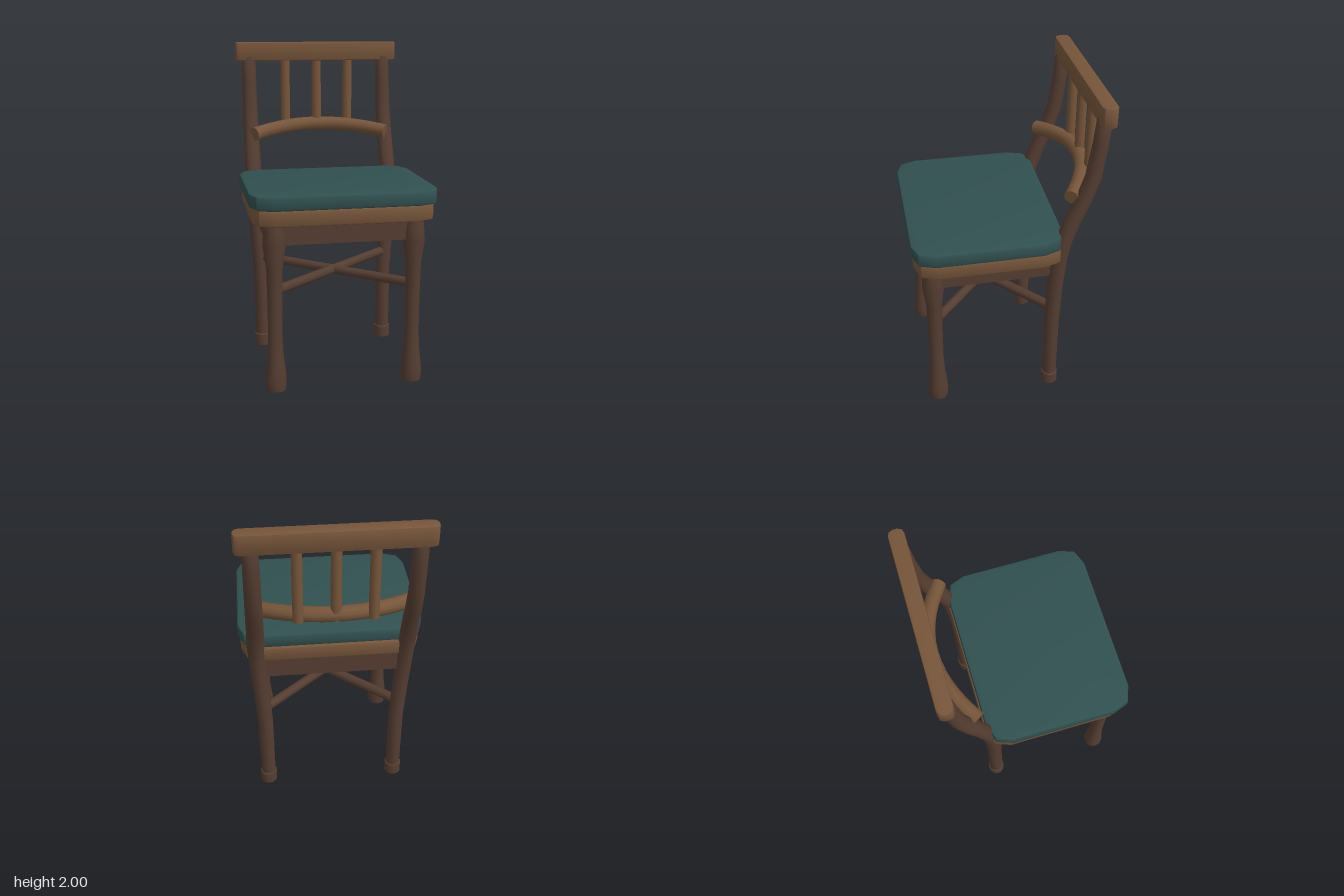
import * as THREE from 'three';
import { mergeVertices, toCreasedNormals } from 'three/addons/utils/BufferGeometryUtils.js';

const lightWood = new THREE.MeshStandardMaterial({ color: 0x76553a });
const darkWood = new THREE.MeshStandardMaterial({ color: 0x553d31 });
const fabric = new THREE.MeshStandardMaterial({ color: 0x315050 });

// Horizontal slab with two-step clipped corners and softened edges
function slab(halfW, zBack, zFront, y0, y1, cut, bevel) {
  const mid = (zBack + zFront) / 2, halfD = (zFront - zBack) / 2;
  const corner = [[halfW, halfD - cut], [halfW - cut * 0.27, halfD - cut * 0.27], [halfW - cut, halfD]];
  const outline = [];
  for (const [sx, sz] of [[1, 1], [-1, 1], [-1, -1], [1, -1]]) {
    const pts = corner.map(([x, z]) => new THREE.Vector2(x * sx, z * sz));
    outline.push(...(sx * sz > 0 ? pts : pts.reverse()));
  }
  const geo = new THREE.ExtrudeGeometry(new THREE.Shape(outline), {
    depth: y1 - y0 - 2 * bevel, bevelThickness: bevel, bevelSize: bevel, bevelOffset: -bevel, bevelSegments: 2,
  });
  geo.rotateX(-Math.PI / 2).translate(0, y0 + bevel, mid);
  return toCreasedNormals(geo, 0.7);
}

// Turned post whose rings follow a bent centre line; rows are [x, y, z, radius]
function turnedPost(rows, sides = 12) {
  const first = rows[0], last = rows[rows.length - 1];
  const all = [[...first.slice(0, 3), 0], ...rows, [...last.slice(0, 3), 0]];
  const geo = new THREE.LatheGeometry(all.map(([, y, , r]) => new THREE.Vector2(r, y)), sides);
  const pos = geo.attributes.position;
  for (let i = 0; i < pos.count; i++) {
    const [x, , z] = all[i % all.length];
    pos.setX(i, pos.getX(i) + x);
    pos.setZ(i, pos.getZ(i) + z);
  }
  geo.deleteAttribute('uv');
  geo.deleteAttribute('normal');
  return toCreasedNormals(mergeVertices(geo), 0.8);
}

// Straight round bar between two points
function bar(a, b, radius, sides) {
  const dir = b.clone().sub(a);
  const geo = new THREE.CylinderGeometry(radius, radius, dir.length(), sides);
  geo.applyQuaternion(new THREE.Quaternion().setFromUnitVectors(new THREE.Vector3(0, 1, 0), dir.normalize()));
  const c = a.clone().add(b).multiplyScalar(0.5);
  return geo.translate(c.x, c.y, c.z);
}

export function createModel() {
  const chair = new THREE.Group();
  chair.name = 'chair';
  const add = (name, geo, mat) => {
    const mesh = new THREE.Mesh(geo, mat);
    mesh.name = name;
    chair.add(mesh);
  };
  const v = (x, y, z) => new THREE.Vector3(x, y, z);
  const box = (w, h, d, x, y, z) => new THREE.BoxGeometry(w, h, d).translate(x, y, z);

  // Seat
  add('cushion', slab(0.555, -0.32, 0.57, 1.105, 1.19, 0.13, 0.016), fabric);
  add('seatFrame', slab(0.54, -0.328, 0.557, 1.01, 1.105, 0.13, 0.014), lightWood);

  // Aprons under the seat
  add('frontApron', box(0.78, 0.13, 0.06, 0, 0.953, 0.45), darkWood);
  add('backApron', box(0.8, 0.13, 0.06, 0, 0.953, -0.285), darkWood);

  for (const s of [1, -1]) {
    const side = s > 0 ? 'left' : 'right';
    add(side + 'Apron', box(0.06, 0.13, 0.7, s * 0.425, 0.953, 0.085), darkWood);

    // Front leg: flared foot, slim shank, swollen top
    const profile = [[0, 0.06], [0.04, 0.064], [0.09, 0.062], [0.21, 0.048], [0.32, 0.043], [0.55, 0.044],
      [0.74, 0.048], [0.88, 0.067], [0.94, 0.064], [1.02, 0.054]];
    add(side + 'FrontLeg', turnedPost(profile.map(([y, r]) => [s * 0.415, y, 0.45, r])), darkWood);

    // Back leg: continues up as the bent back post
    add(side + 'BackLeg', turnedPost([
      [s * 0.415, 0, -0.282, 0.053], [s * 0.415, 0.075, -0.282, 0.053], [s * 0.415, 0.08, -0.282, 0.046],
      [s * 0.417, 0.5, -0.282, 0.047], [s * 0.435, 0.8, -0.286, 0.05], [s * 0.448, 1.0, -0.3, 0.051],
      [s * 0.452, 1.12, -0.318, 0.052], [s * 0.45, 1.28, -0.375, 0.051], [s * 0.45, 1.4, -0.428, 0.05],
      [s * 0.45, 1.55, -0.475, 0.048], [s * 0.45, 1.75, -0.503, 0.046], [s * 0.45, 1.9, -0.516, 0.044],
      [s * 0.45, 1.94, -0.519, 0.024],
    ]), darkWood);

    // Diagonal stretcher, crossing its twin in the middle
    add(side + 'Stretcher', bar(v(s * 0.415, 0.61, 0.45), v(-s * 0.415, 0.61, -0.28), 0.03, 8), darkWood);
  }

  // Top rail
  add('topRail', slab(0.538, -0.57, -0.478, 1.88, 2, 0.036, 0.01), lightWood);

  // Arched lower back rail, bowed backwards
  const path = [];
  for (let i = -5; i <= 5; i++) {
    const x = i * 0.0875;
    path.push(v(x, 1.46 - 0.23 * x * x, -0.515 + 0.82 * x * x));
  }
  const section = new THREE.Shape();
  for (let i = 0; i < 10; i++) {
    const a = (i / 10) * Math.PI * 2;
    section[i ? 'lineTo' : 'moveTo'](0.045 * Math.cos(a), 0.045 * Math.sin(a));
  }
  const arch = new THREE.ExtrudeGeometry(section, { steps: 14, extrudePath: new THREE.CatmullRomCurve3(path) });
  add('archedRail', toCreasedNormals(arch, 0.8), lightWood);

  // Spindles
  for (const x of [-0.21, 0, 0.21]) {
    add('spindle', bar(v(x, 1.43, -0.522), v(x, 1.9, -0.522), 0.031, 10), lightWood);
  }
  return chair;
}
